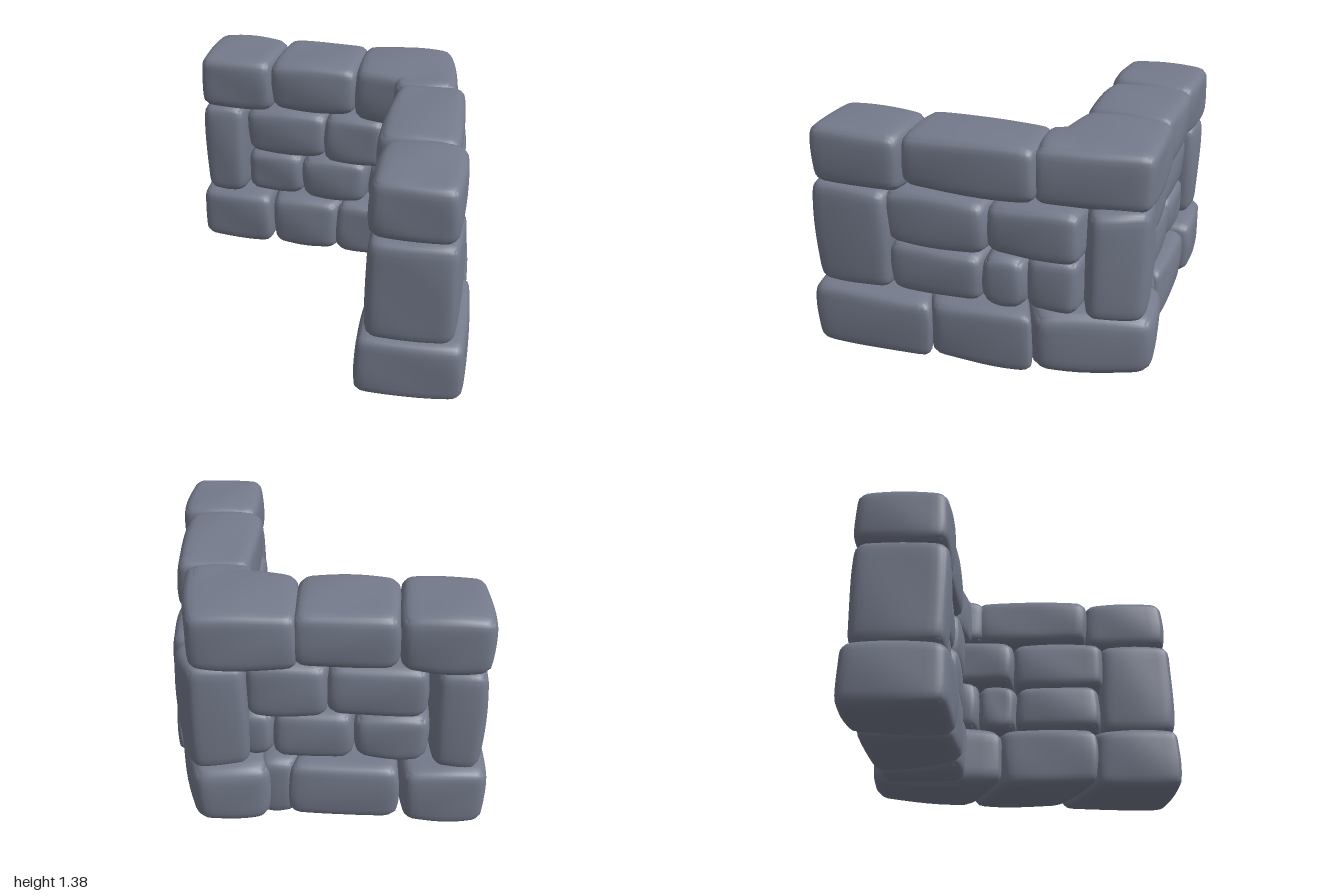
import * as THREE from 'three';
import { mergeVertices } from 'three/addons/utils/BufferGeometryUtils.js';

const stoneGrey = new THREE.MeshStandardMaterial({ color: 0x747a8b });
stoneGrey.name = 'stone grey';

// Worn block over a four-sided plan, corners [x, z] in the order
// back -x, back +x, front +x, front -x, between heights y0 and y1.
function stoneGeometry(plan, y0, y1, radius, seed) {
  const [a, b, c, d] = plan;
  const dist = (p, q) => Math.hypot(p[0] - q[0], p[1] - q[1]);
  const half = [(dist(a, b) + dist(d, c)) / 4, (y1 - y0) / 2, (dist(a, d) + dist(b, c)) / 4];
  const r = Math.min(radius, ...half.map((h) => h * 0.6));

  let geo = new THREE.BoxGeometry(2, 2, 2, 14, 14, 14);
  geo.deleteAttribute('uv');
  geo.deleteAttribute('normal');
  geo = mergeVertices(geo);
  const pos = geo.attributes.position;
  for (let i = 0; i < pos.count; i++) {
    // gather the grid toward the edges, then round them
    const u = [pos.getX(i), pos.getY(i), pos.getZ(i)].map((t) => Math.sin(t * Math.PI / 2));
    const full = u.map((t, k) => t * half[k]);
    const inner = full.map((t, k) => THREE.MathUtils.clamp(t, r - half[k], half[k] - r));
    const out = full.map((t, k) => t - inner[k]);
    const len = Math.hypot(...out) || 1;
    const q = inner.map((t, k) => t + (out[k] / len) * r);
    // dome every face a little and add slow unevenness
    const n = q.map((t, k) => {
      const s = u[(k + 1) % 3], w = u[(k + 2) % 3];
      const dome = 0.012 * (s * s + w * w);
      const wave = 0.004 * Math.sin(seed * 2.3 + k * 1.7 + s * 2.1 + w * 2.7);
      return (t / half[k]) * (1 + (wave - dome) / half[k]);
    });
    // stretch over the plan
    const s = (n[0] + 1) / 2, w = (n[2] + 1) / 2;
    const at = (k) => (1 - w) * ((1 - s) * a[k] + s * b[k]) + w * ((1 - s) * d[k] + s * c[k]);
    pos.setXYZ(i, at(0), y0 + (y1 - y0) * (n[1] + 1) / 2, at(1));
  }
  geo.computeVertexNormals();
  return geo;
}

export function createModel() {
  const wall = new THREE.Group();
  wall.name = 'stoneWall';
  let seed = 0;
  const stone = (name, plan, y0, y1, radius = 0.055) => {
    const mesh = new THREE.Mesh(stoneGeometry(plan, y0, y1, radius, ++seed), stoneGrey);
    mesh.name = name;
    wall.add(mesh);
  };

  // Base course
  stone('backWingBaseEnd', [[-1, -0.92], [-0.52, -0.95], [-0.46, -0.32], [-0.98, -0.33]], 0.02, 0.415);
  stone('backWingBaseMiddle', [[-0.52, -0.92], [0.15, -0.92], [-0.03, -0.34], [-0.47, -0.34]], 0.02, 0.41);
  stone('backWingBaseInner', [[0.08, -0.89], [0.3, -0.89], [0.33, -0.36], [-0.06, -0.36]], 0.01, 0.41);
  stone('cornerBase', [[0.2, -0.95], [0.64, -1.01], [0.85, -0.37], [0.31, -0.1]], 0, 0.415, 0.08);
  stone('sideWingBaseMiddle', [[0.34, -0.14], [0.87, -0.4], [0.93, 0.22], [0.34, 0.5]], 0.01, 0.415);
  stone('sideWingBaseEnd', [[0.37, 0.47], [0.95, 0.18], [1.01, 0.96], [0.38, 1.01]], 0, 0.415);

  // Tall piers at the ends and the corner
  stone('backWingPier', [[-0.96, -0.9], [-0.66, -0.9], [-0.65, -0.36], [-0.95, -0.35]], 0.39, 1.04);
  stone('cornerPier', [[0.32, -0.92], [0.65, -0.96], [0.79, -0.65], [0.36, -0.5]], 0.37, 1.05);
  stone('sideWingPier', [[0.41, 0.49], [0.92, 0.47], [0.94, 0.96], [0.43, 1.0]], 0.39, 1.04);

  // Small stones of the back wing: front x range, back x range, y range, z range
  [
    [-0.66, -0.11, -0.64, -0.08, 0.69, 1.03, -0.86, -0.4],
    [-0.13, 0.29, -0.1, 0.37, 0.68, 1.04, -0.88, -0.38],
    [-0.66, -0.27, -0.66, -0.23, 0.4, 0.72, -0.86, -0.4],
    [-0.28, 0.17, -0.24, 0.22, 0.4, 0.73, -0.87, -0.37],
    [0.17, 0.45, 0.2, 0.4, 0.4, 0.71, -0.85, -0.4],
  ].forEach(([f0, f1, b0, b1, y0, y1, z0, z1], i) =>
    stone('backWingInfill' + (i + 1), [[b0, z0], [b1, z0], [f1, z1], [f0, z1]], y0, y1));

  // Small stones of the side wing: z range, y range, inner x, outer x
  [
    [-0.09, 0.53, 0.69, 1.04, 0.36, 0.88],
    [-0.61, -0.07, 0.71, 1.04, 0.31, 0.83],
    [-0.07, 0.5, 0.4, 0.73, 0.37, 0.9],
    [-0.32, -0.05, 0.4, 0.73, 0.36, 0.86],
    [-0.61, -0.3, 0.4, 0.76, 0.33, 0.82],
  ].forEach(([z0, z1, y0, y1, x0, x1], i) =>
    stone('sideWingInfill' + (i + 1), [[x0, z0], [x1 - 0.03, z0], [x1, z1], [x0, z1]], y0, y1));

  // Capping course
  stone('backWingCapEnd', [[-0.97, -0.91], [-0.46, -0.9], [-0.46, -0.37], [-0.95, -0.36]], 1.01, 1.375);
  stone('backWingCapMiddle', [[-0.48, -0.91], [0.1, -0.92], [0.09, -0.38], [-0.48, -0.38]], 1.03, 1.375);
  stone('cornerCap', [[0.05, -0.93], [0.64, -0.96], [0.76, -0.3], [0.07, -0.4]], 1.01, 1.375);
  stone('cornerCapReturn', [[0.28, -0.7], [0.66, -0.7], [0.74, -0.32], [0.35, -0.26]], 1.03, 1.37);
  stone('sideWingCapMiddle', [[0.36, -0.34], [0.8, -0.36], [0.85, 0.42], [0.37, 0.43]], 1.03, 1.375);
  stone('sideWingCapEnd', [[0.42, 0.4], [0.9, 0.39], [0.92, 0.95], [0.43, 0.96]], 1.01, 1.375);

  return wall;
}
